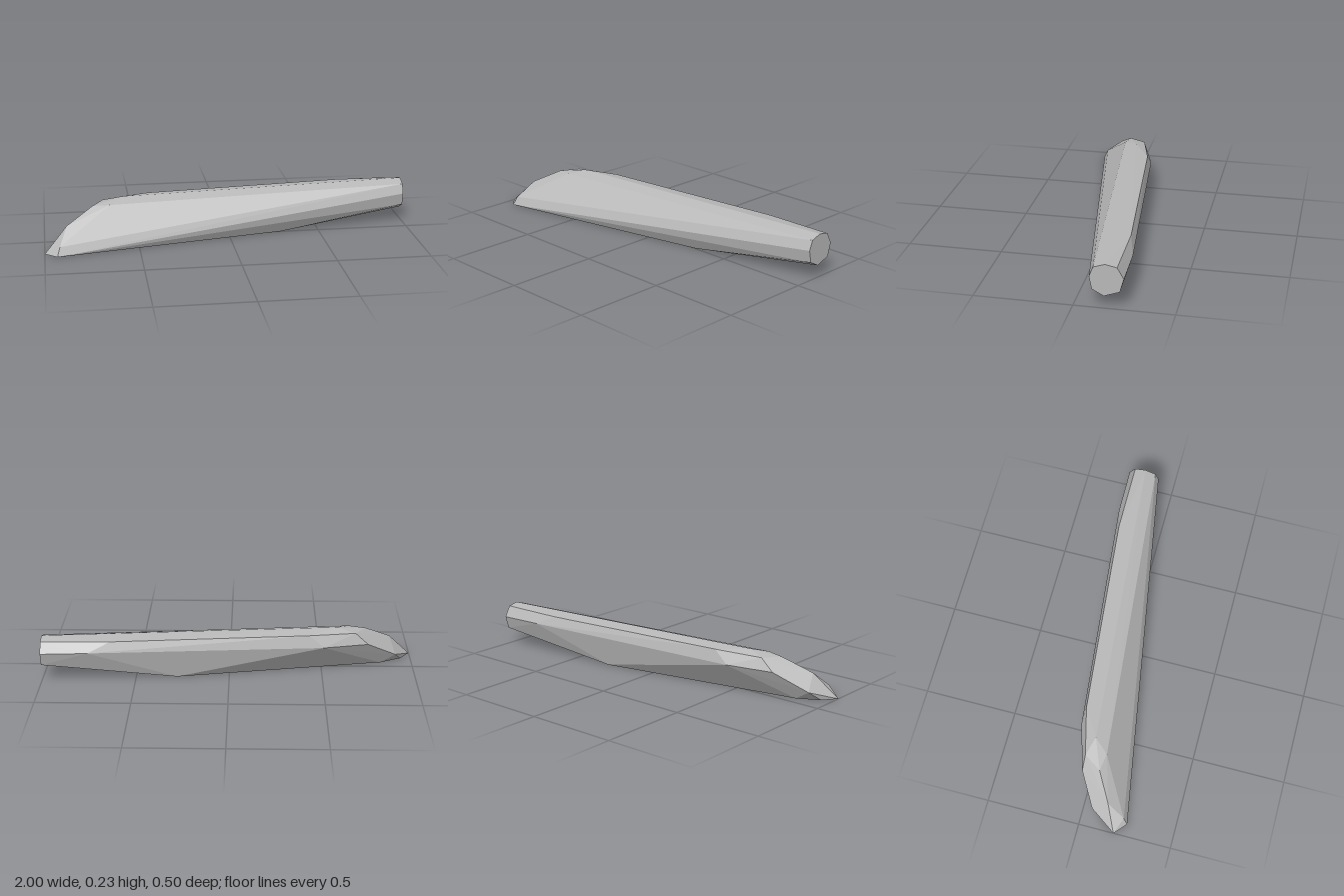
import * as THREE from 'three';
import { ConvexGeometry } from 'three/addons/geometries/ConvexGeometry.js';

const v = (x, y, z) => new THREE.Vector3(x, y, z);

export function createModel() {
  const group = new THREE.Group();
  group.name = 'taperedBlade';
  const grey = new THREE.MeshStandardMaterial({ color: 0xb8b8b8 });
  grey.name = 'plain grey';

  // Octagonal butt end, as [y, z] at x = 1
  const butt = [
    [0.163, -0.08], [0.214, -0.1], [0.233, -0.158], [0.221, -0.217],
    [0.163, -0.25], [0.093, -0.23], [0.065, -0.152], [0.097, -0.093],
  ].map(([y, z]) => v(1, y, z));

  // Flat underside, from the tip back to where it lifts towards the butt
  const underside = [
    v(-1, 0, 0.19), v(-0.935, 0, 0.248), v(0.29, 0, -0.002),
    v(0.28, 0, -0.158), v(-0.83, 0, 0.055), v(-0.945, 0, 0.115),
  ];

  // Sloping nose and top ridge
  const ridge = [
    v(-0.92, 0.047, 0.226), v(-0.88, 0.13, 0.13), v(-0.74, 0.208, 0.048),
    v(-0.65, 0.214, 0.063), v(-0.58, 0.235, -0.015),
  ];

  // Upper crease and widest line along the back
  const back = [
    v(0.63, 0.222, -0.214), v(-0.43, 0.222, -0.108), v(-0.68, 0.212, -0.045),
    v(0.75, 0.168, -0.246), v(-0.51, 0.155, -0.116), v(-0.75, 0.148, -0.045),
    v(-0.91, 0.05, 0.05),
  ];

  // The body is the faceted convex skin around these lines
  const body = new THREE.Mesh(
    new ConvexGeometry([...butt, ...underside, ...ridge, ...back]), grey);
  body.name = 'body';
  group.add(body);
  return group;
}
